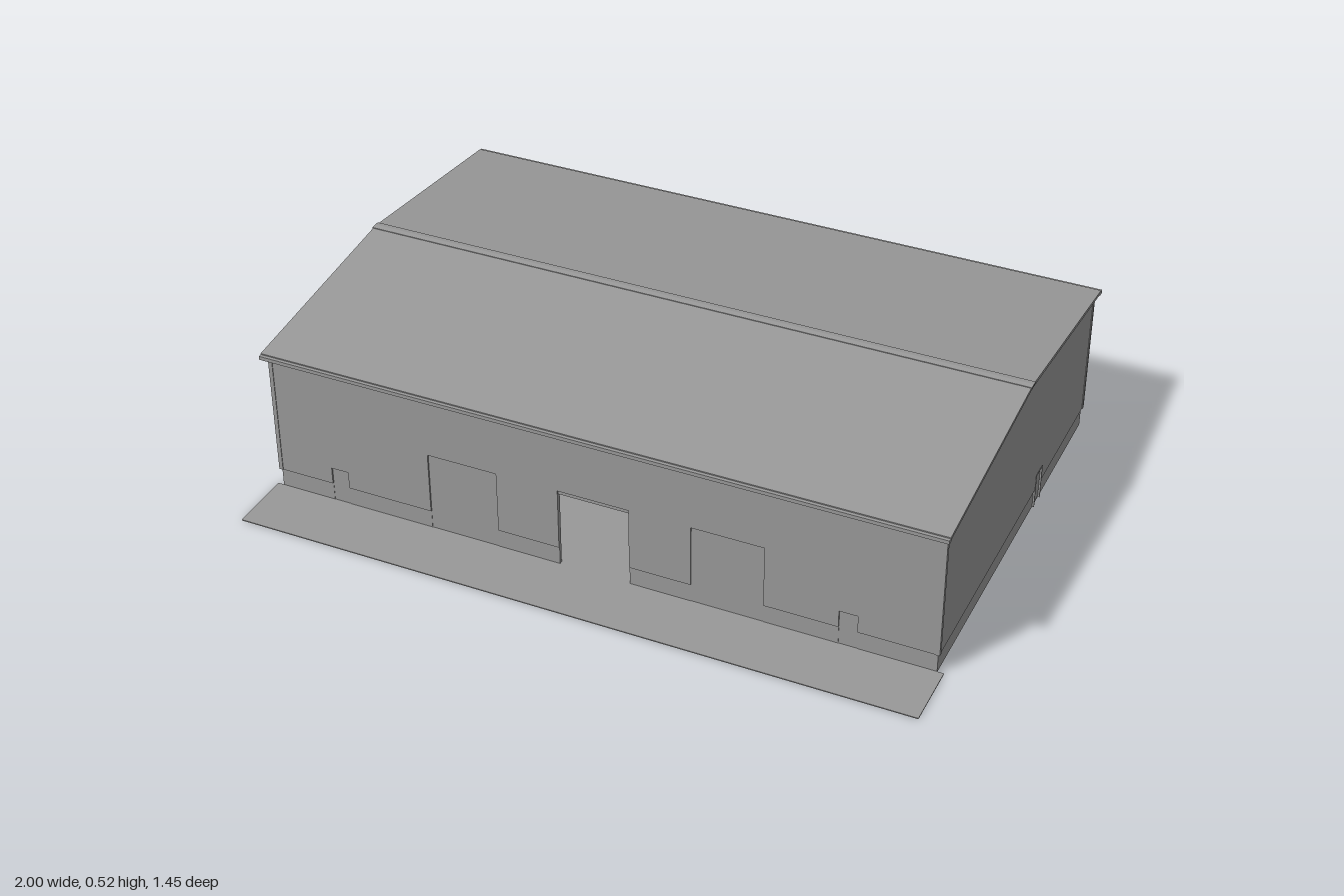
import * as THREE from 'three';

const RIDGE_Z = -0.08, FRONT = 0.538, BACK = -0.698, HALF_X = 0.985, T = 0.014;
const PLINTH = 0.06, STEP = 0.004;
const roofY = (z) => 0.522 - 0.105 * Math.abs(z - RIDGE_Z);
const underY = (z) => roofY(z) - 0.01;

export function createModel() {
  const model = new THREE.Group();
  const grey = new THREE.MeshStandardMaterial({ color: 0x999999 });
  grey.name = 'grey';

  const add = (name, geo) => {
    const m = new THREE.Mesh(geo, grey);
    m.name = name;
    model.add(m);
    return m;
  };
  const box = (name, x0, x1, y0, y1, z0, z1) =>
    add(name, new THREE.BoxGeometry(x1 - x0, y1 - y0, z1 - z0)
      .translate((x0 + x1) / 2, (y0 + y1) / 2, (z0 + z1) / 2));
  // Outline in (z, y), extruded along x from x0 to x1
  const alongX = (name, pts, x0, x1) => {
    const shape = new THREE.Shape(pts.map(([z, y]) => new THREE.Vector2(z, y)));
    const geo = new THREE.ExtrudeGeometry(shape, { depth: x1 - x0, bevelEnabled: false });
    return add(name, geo.rotateY(-Math.PI / 2).translate(x1, 0, 0));
  };
  // Calls back for every stretch between openings
  const between = (a, b, openings, fn) => {
    let start = a;
    for (const [o0, o1] of openings) { fn(start, o0); start = o1; }
    fn(start, b);
  };

  // Floor and front apron
  box('floor', -HALF_X + STEP, HALF_X - STEP, 0, 0.003, BACK + STEP, FRONT - STEP);
  box('apron', -1, 1, 0, 0.003, FRONT - STEP, 0.725);

  // Front wall with three large and two small doorways: [x0, x1, height]
  const doors = [[-0.813, -0.76, 0.113], [-0.5, -0.29, 0.25], [-0.105, 0.105, 0.25],
    [0.285, 0.495, 0.25], [0.707, 0.76, 0.113]];
  const eave = underY(FRONT);
  between(-HALF_X, HALF_X, doors, (a, b) => {
    box('frontWall', a, b, PLINTH, eave, FRONT - T, FRONT);
    box('frontPlinth', Math.max(a, -HALF_X + STEP), Math.min(b, HALF_X - STEP),
      0, PLINTH, FRONT - T, FRONT - STEP);
  });
  doors.forEach(([a, b, h], i) => {
    box('doorHeader', a, b, h, eave, FRONT - T, FRONT);
    if (i === 2) box('raisedShutter', a, b, h - 0.012, h, FRONT - 0.012, FRONT - 0.004);
    else box(b - a > 0.1 ? 'shutter' : 'frontDoor', a, b, 0, h, FRONT - 0.012, FRONT - 0.005);
  });

  // Back wall
  box('backWall', -HALF_X, HALF_X, PLINTH, underY(BACK), BACK, BACK + T);
  box('backPlinth', -HALF_X + STEP, HALF_X - STEP, 0, PLINTH, BACK + STEP, BACK + T);

  // Gable walls, each with one small doorway
  for (const [side, z0, z1] of [[1, -0.305, -0.25], [-1, 0.085, 0.14]]) {
    const span = (outer) => side > 0 ? [outer - T, outer] : [-outer, -outer + T];
    const zb = BACK + T, zf = FRONT - T, h = 0.11;
    alongX('gableWall', [[zb, PLINTH], [z0, PLINTH], [z0, h], [z1, h], [z1, PLINTH],
      [zf, PLINTH], [zf, underY(zf)], [RIDGE_Z, underY(RIDGE_Z)], [zb, underY(zb)]], ...span(HALF_X));
    between(zb, zf, [[z0, z1]], (a, b) => {
      const [x0, x1] = span(HALF_X - STEP);
      box('gablePlinth', x0, x1, 0, PLINTH, a, b);
    });
    const [d0, d1] = span(HALF_X - 0.005);
    box('sideDoor', d0, d1, 0, h, z0, z1);
    // Slim door frame
    const [f0, f1] = side > 0 ? [HALF_X - 0.004, HALF_X + 0.001] : [-HALF_X - 0.001, -HALF_X + 0.004];
    box('sideDoorFrame', f0, f1, 0, h, z0, z0 + 0.004);
    box('sideDoorFrame', f0, f1, 0, h, z1 - 0.004, z1);
    box('sideDoorFrame', f0, f1, h - 0.004, h, z0, z1);
  }

  // Corner trims
  for (const s of [-1, 1]) {
    for (const [z, d] of [[FRONT, -1], [BACK, 1]]) {
      const xo = s * (HALF_X + 0.002), xi = s * (HALF_X - 0.01);
      const zo = z - d * 0.002, zi = z + d * 0.01;
      box('cornerTrim', Math.min(xo, xi), Math.max(xo, xi), PLINTH, underY(z),
        Math.min(zo, zi), Math.max(zo, zi));
    }
  }

  // Gabled roof slab
  const reach = 0.635, zf = RIDGE_Z + reach, zb = RIDGE_Z - reach;
  alongX('roof', [[zb, underY(zb)], [RIDGE_Z, underY(RIDGE_Z)], [zf, underY(zf)],
    [zf, roofY(zf)], [RIDGE_Z, roofY(RIDGE_Z)], [zb, roofY(zb)]], -0.998, 0.998);

  // Ridge cap
  const r0 = RIDGE_Z - 0.016, r1 = RIDGE_Z + 0.016;
  alongX('ridgeCap', [[r0, roofY(r0) - 0.002], [r1, roofY(r1) - 0.002], [r1, roofY(r1) + 0.002],
    [RIDGE_Z, roofY(RIDGE_Z) + 0.002], [r0, roofY(r0) + 0.002]], -1, 1);

  // Eave gutters
  for (const s of [-1, 1]) {
    const a = RIDGE_Z + s * 0.628, b = RIDGE_Z + s * 0.645;
    box('gutter', -0.998, 0.998, 0.441, 0.452, Math.min(a, b), Math.max(a, b));
  }
  return model;
}
